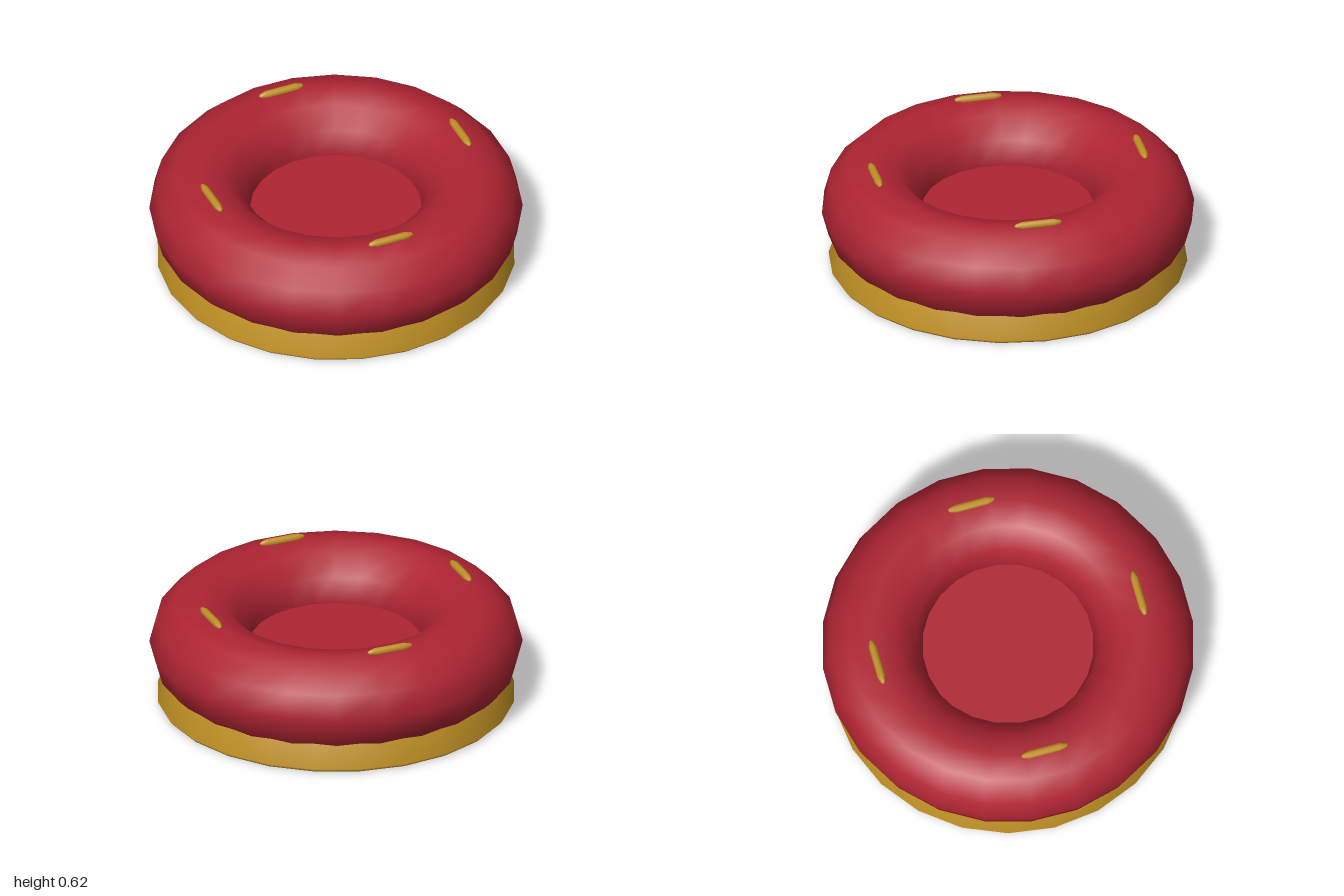
import * as THREE from 'three';

const RING_R = 0.73, TUBE_R = 0.27, RING_Y = 0.325, SIDES = 24;

function material(name, color) {
  const m = new THREE.MeshStandardMaterial({ color });
  m.name = name;
  return m;
}

function lathe(profile, sides, phase = 0) {
  const points = profile.map(([r, y]) => new THREE.Vector2(r, y));
  return new THREE.LatheGeometry(points, sides, phase);
}

export function createModel() {
  const model = new THREE.Group();
  model.name = 'ringCake';
  const red = material('cherry red', 0xae2432);
  const gold = material('golden', 0xbf9024);

  const add = (name, geometry, mat, y = 0) => {
    const mesh = new THREE.Mesh(geometry, mat);
    mesh.name = name;
    mesh.position.y = y;
    model.add(mesh);
    return mesh;
  };

  // Base: flared wall, small bevel and a flat underside
  const baseProfile = [
    [0, 0], [0.93, 0], [0.948, 0.002], [0.962, 0.02], [0.921, 0.145], [0.87, 0.3],
  ];
  add('base', lathe(baseProfile, SIDES, Math.PI / SIDES), gold);

  // Thick glazed ring
  const ring = new THREE.TorusGeometry(RING_R, TUBE_R, 12, SIDES);
  ring.rotateX(-Math.PI / 2);
  add('ring', ring, red, RING_Y);

  // Floor closing the hole at mid height
  const floor = new THREE.CircleGeometry(0.48, SIDES);
  floor.rotateX(-Math.PI / 2);
  add('holeFloor', floor, red, RING_Y);

  // Four tapered sprinkles lying along the crest of the ring
  const sprinkle = lathe([
    [0, -0.13], [0.012, -0.122], [0.022, -0.085],
    [0.022, 0.085], [0.012, 0.122], [0, 0.13],
  ], 8);
  sprinkle.rotateZ(-Math.PI / 2);
  for (let i = 0; i < 4; i++) {
    const a = Math.atan2(0.285, 0.67) + i * Math.PI / 2;
    const mesh = add('sprinkle' + (i + 1), sprinkle, gold, 0.598);
    mesh.position.x = Math.sin(a) * 0.728;
    mesh.position.z = Math.cos(a) * 0.728;
    mesh.rotation.y = a;
  }
  return model;
}
